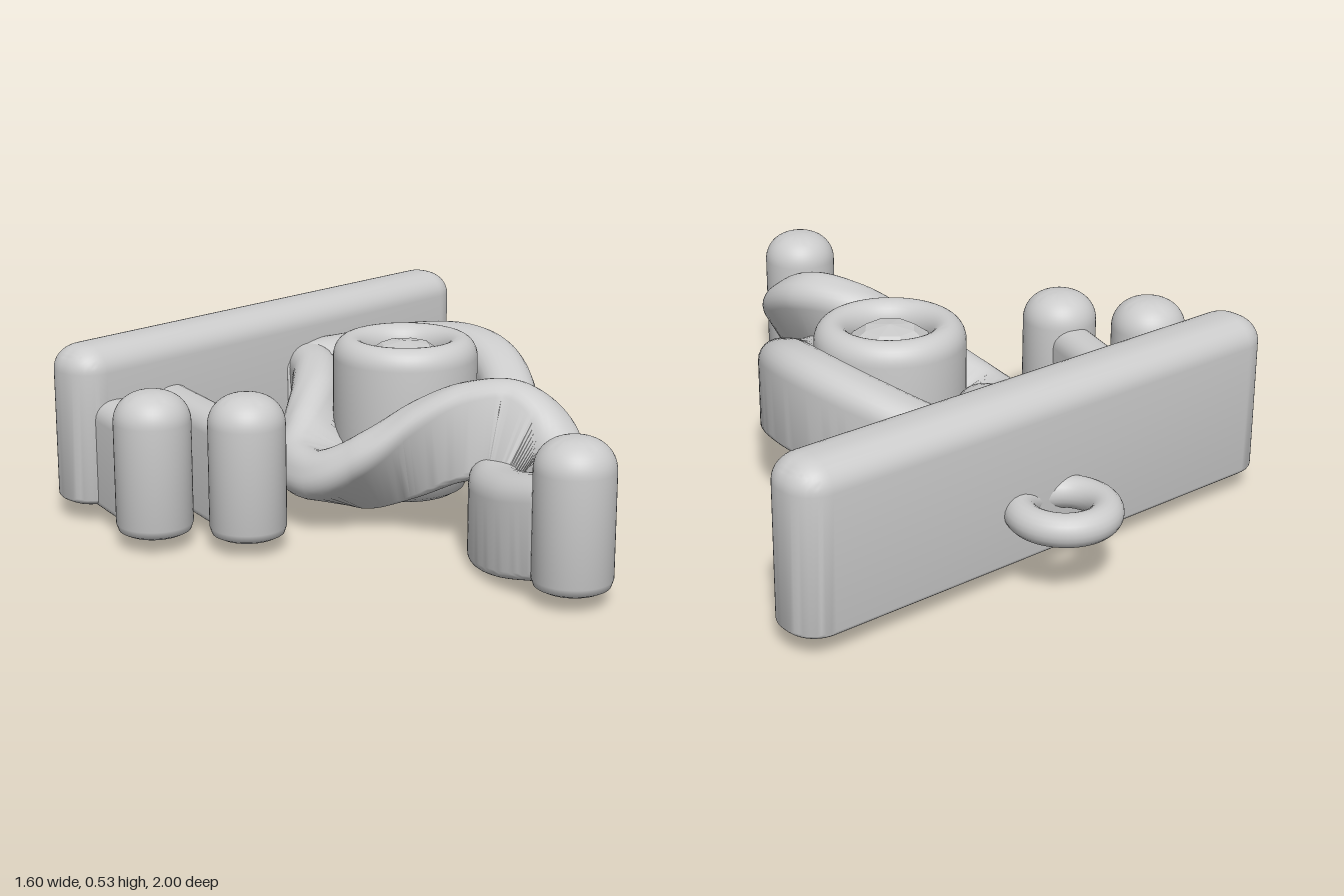
import * as THREE from 'three';
import { toCreasedNormals } from 'three/addons/utils/BufferGeometryUtils.js';
import { RoundedBoxGeometry } from 'three/addons/geometries/RoundedBoxGeometry.js';

const grey = new THREE.MeshStandardMaterial({ color: 0xcccccc });
const facetGrey = new THREE.MeshStandardMaterial({ color: 0xcccccc, flatShading: true });

function add(group, name, geometry, x = 0, y = 0, z = 0, material = grey) {
  const mesh = new THREE.Mesh(geometry, material);
  mesh.name = name;
  mesh.position.set(x, y, z);
  group.add(mesh);
  return mesh;
}

// Band cross-section: softly rounded top, tighter rounding below
function bandSection(w, h) {
  const pts = [], top = w * 0.42, low = 0.025;
  const corners = [
    [w / 2 - top, h / 2 - top, top, 0],
    [-w / 2 + top, h / 2 - top, top, 1],
    [-w / 2 + low, -h / 2 + low, low, 2],
    [w / 2 - low, -h / 2 + low, low, 3],
  ];
  for (const [cx, cy, r, q] of corners) {
    for (let k = 0; k <= 6; k++) {
      const a = (q + k / 6) * Math.PI / 2;
      pts.push([cx + r * Math.cos(a), cy + r * Math.sin(a)]);
    }
  }
  return pts;
}

// Sweep a band along points [x, y, z, roll in degrees]; roll tips its top sideways
function band(path, w, h, steps = 88) {
  const curve = new THREE.CatmullRomCurve3(path.map(([x, y, z]) => new THREE.Vector3(x, y, z)));
  const section = bandSection(w, h), n = section.length, last = path.length - 1;
  const pos = [], idx = [];
  for (let i = 0; i <= steps; i++) {
    const t = i / steps, c = curve.getPoint(t), d = curve.getTangent(t);
    const side = new THREE.Vector3(d.z, 0, -d.x).normalize();
    const k = Math.min(Math.floor(t * last), last - 1);
    const roll = THREE.MathUtils.degToRad(
      THREE.MathUtils.lerp(path[k][3] ?? 0, path[k + 1][3] ?? 0, t * last - k));
    const cos = Math.cos(roll), sin = Math.sin(roll);
    for (const [s, u] of section) {
      const o = s * cos + u * sin;
      pos.push(c.x + side.x * o, c.y + u * cos - s * sin, c.z + side.z * o);
    }
  }
  for (let i = 0; i < steps; i++) {
    for (let j = 0; j < n; j++) {
      const a = i * n + j, b = i * n + (j + 1) % n;
      idx.push(a, b, b + n, a, b + n, a + n);
    }
  }
  const e = steps * n;
  for (let j = 1; j < n - 1; j++) idx.push(0, j + 1, j, e, e + j, e + j + 1);
  const g = new THREE.BufferGeometry();
  g.setAttribute('position', new THREE.Float32BufferAttribute(pos, 3));
  g.setIndex(idx);
  return toCreasedNormals(g, 0.7);
}

const lathe = (pts, seg = 48) =>
  new THREE.LatheGeometry(pts.map(p => new THREE.Vector2(...p)), seg);

// Round post with a soft dome and a small bottom edge
function postGeometry() {
  const pts = [[0, 0.045], [0.088, 0.045], [0.105, 0.054], [0.112, 0.075]];
  for (let k = 0; k <= 12; k++) {
    const a = k / 12 * Math.PI / 2;
    pts.push([0.112 * Math.pow(Math.cos(a), 0.85), 0.375 + 0.09 * Math.sin(a)]);
  }
  pts[pts.length - 1][0] = 0;
  return toCreasedNormals(lathe(pts), 0.8);
}

export function createModel() {
  const model = new THREE.Group();
  model.name = 'pendant';

  // Slanted bar with rounded ends, its lower edge tighter than its upper edge
  const r = 0.09, height = 0.49;
  const barGeo = new RoundedBoxGeometry(1.65, height, 0.2, 6, r);
  const p = barGeo.attributes.position;
  for (let i = 0; i < p.count; i++) {
    const up = height / 2 - p.getY(i), down = p.getY(i) + height / 2;
    if (down < r) p.setY(i, down * 0.35 - height / 2);
    if (up < r) p.setY(i, height / 2 - up * 0.85);
  }
  const bar = add(model, 'bar', toCreasedNormals(barGeo, 0.8), 0, 0.29, -0.665);
  bar.rotation.y = THREE.MathUtils.degToRad(15.8);

  // Hanging ring behind the bar
  const ring = add(model, 'hangingRing', new THREE.TorusGeometry(0.116, 0.046, 20, 48), -0.01, 0.22, -0.838);
  ring.rotation.x = Math.PI / 2;

  // Domed posts and the arms that hang two of them from the bar
  for (const [x, z, barZ] of [[-0.66, -0.108, -0.47], [-0.442, 0.057, -0.53]]) {
    add(model, 'post', postGeometry(), x, 0, z);
    add(model, 'postArm', band([[x, 0.21, barZ], [x, 0.21, z]], 0.13, 0.33, 2));
  }
  add(model, 'tailPost', postGeometry(), 0.105, 0, 0.883);

  // Right-hand ribbon: bows round the setting and dips under to the tail post
  add(model, 'outerRibbon', band([
    [0.06, 0.25, -0.64], [0.21, 0.28, -0.57], [0.365, 0.335, -0.4], [0.455, 0.36, -0.22],
    [0.473, 0.345, -0.06], [0.42, 0.28, 0.12], [0.315, 0.2, 0.27], [0.195, 0.153, 0.4],
    [0.1, 0.15, 0.53], [0.065, 0.17, 0.67], [0.08, 0.2, 0.8], [0.105, 0.215, 0.87],
  ], 0.16, 0.29));

  // Left-hand ribbon: rolls outward at its bend, twists back over and hooks down
  add(model, 'crossingRibbon', band([
    [0.13, 0.26, -0.62, 0], [0.085, 0.26, -0.47, -5], [0.015, 0.235, -0.31, -22],
    [-0.065, 0.185, -0.17, -50], [-0.128, 0.152, -0.07, -70], [-0.128, 0.152, 0.01, -72],
    [-0.07, 0.195, 0.1, -50], [0.03, 0.27, 0.2, -22], [0.13, 0.335, 0.32, 8],
    [0.21, 0.352, 0.44, 24], [0.228, 0.305, 0.54, 30], [0.2, 0.225, 0.61, 30],
    [0.15, 0.18, 0.625, 30],
  ], 0.15, 0.29));

  // Round setting, hollow, with a rolled rim
  const wall = [[0.12, 0.07], [0.135, 0.05], [0.16, 0.045], [0.185, 0.06], [0.208, 0.12], [0.22, 0.2]];
  for (let k = 0; k <= 16; k++) {
    const a = k / 16 * Math.PI;
    wall.push([0.168 + 0.052 * Math.cos(a), 0.463 + 0.062 * Math.sin(a)]);
  }
  wall.push([0.12, 0.4], [0.12, 0.07]);
  add(model, 'setting', toCreasedNormals(lathe(wall), 0.8), 0.182, 0, -0.1);

  // Faceted stone
  add(model, 'stone', lathe([[0, 0.075], [0.125, 0.075], [0.13, 0.46], [0.075, 0.5], [0, 0.51]], 8),
    0.182, 0, -0.1, facetGrey);

  return model;
}
